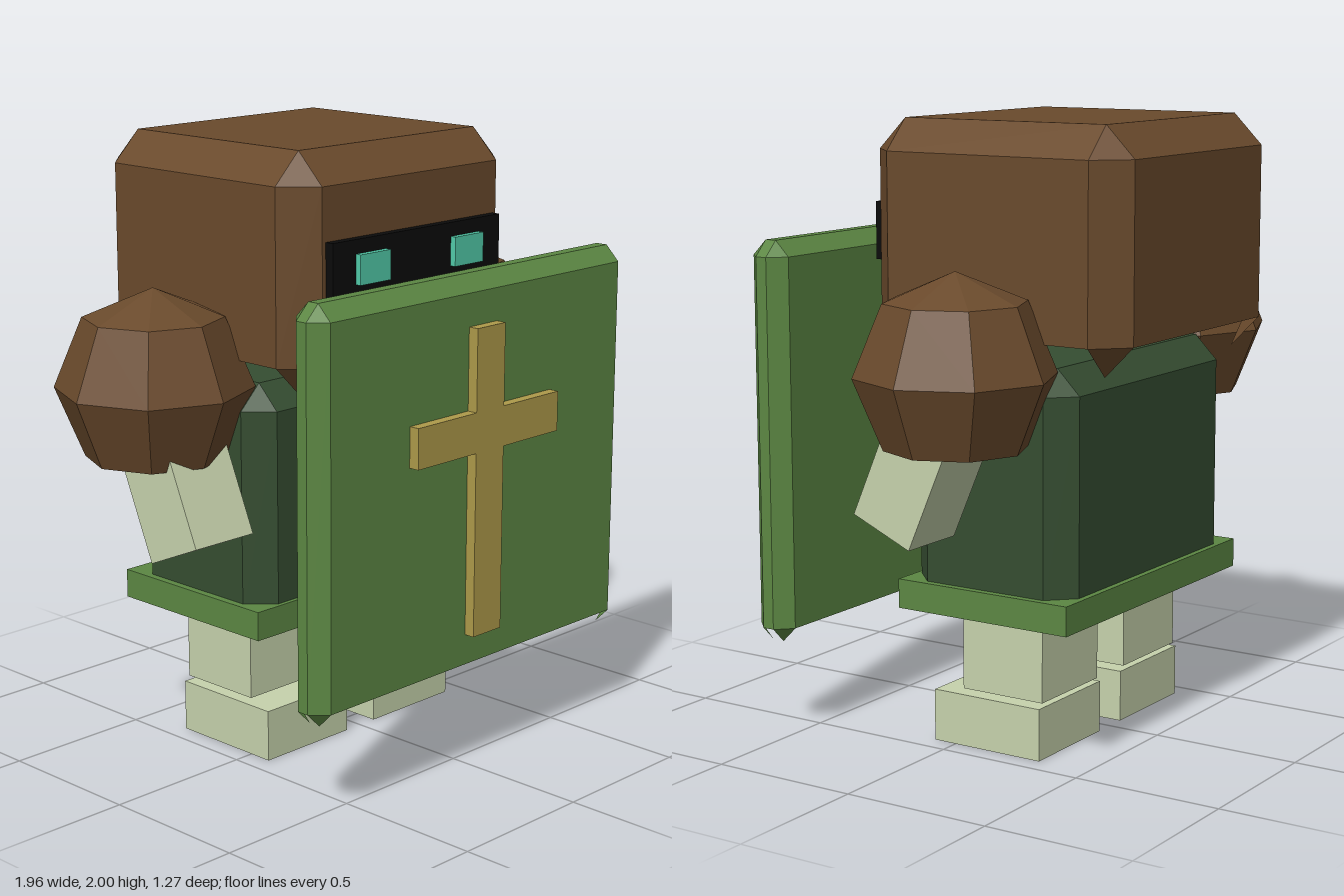
import * as THREE from 'three';

function mat(name, color) {
  const m = new THREE.MeshStandardMaterial({ color, side: THREE.DoubleSide });
  m.name = name;
  return m;
}

// Box between two corners, open at the bottom
function openBox(w, h, d) {
  const g = new THREE.BoxGeometry(w, h, d);
  const idx = Array.from(g.index.array);
  idx.splice(18, 6);
  g.setIndex(idx);
  g.clearGroups();
  return g;
}

// Chamfered box, open below: the bottom keeps only its corner points
function chamferBox(w, h, d, b) {
  const hx = w / 2, hz = d / 2, y0 = -h / 2, y1 = h / 2;
  const ring = [], inset = [];
  [[1, 1], [1, -1], [-1, -1], [-1, 1]].forEach(([sx, sz], k) => {
    const pair = [[sx * (hx - b), sz * hz], [sx * hx, sz * (hz - b)]];
    if (k % 2) pair.reverse();
    ring.push(...pair);
    const c = [sx * (hx - b), sz * (hz - b)];
    inset.push(c, c);
  });
  const pos = [];
  const tri = (...pts) => pts.forEach(([p, y]) => pos.push(p[0], y, p[1]));
  for (let i = 0; i < 8; i++) {
    const j = (i + 1) % 8, p = ring[i], q = ring[j];
    // wall
    tri([p, y0 + b], [q, y0 + b], [q, y1 - b]);
    tri([p, y0 + b], [q, y1 - b], [p, y1 - b]);
    // top bevel, with triangles at the corners
    tri([p, y1 - b], [q, y1 - b], [inset[j], y1]);
    if (i % 2) tri([p, y1 - b], [inset[j], y1], [inset[i], y1]);
    else tri([q, y0 + b], [p, y0 + b], [inset[i], y0]);
  }
  // lid
  tri([inset[0], y1], [inset[2], y1], [inset[4], y1]);
  tri([inset[0], y1], [inset[4], y1], [inset[6], y1]);
  const g = new THREE.BufferGeometry();
  g.setAttribute('position', new THREE.Float32BufferAttribute(pos, 3));
  g.computeVertexNormals();
  return g;
}

export function createModel() {
  const group = new THREE.Group();
  const brown = mat('brown', 0x6a4a2c);
  const green = mat('green', 0x5c8743);
  const darkGreen = mat('darkGreen', 0x354d31);
  const pale = mat('paleGreen', 0xc6d2ac);
  const gold = mat('gold', 0xae9a4a);
  const teal = mat('teal', 0x52ccaa);
  const black = mat('black', 0x0b0b0b);

  const add = (name, geometry, material, x, y, z) => {
    const mesh = new THREE.Mesh(geometry, material);
    mesh.name = name;
    mesh.position.set(x, y, z);
    group.add(mesh);
    return mesh;
  };
  // Place a part by its minimum and maximum corners
  const span = (name, material, [x0, y0, z0], [x1, y1, z1], bevel = 0) => {
    const size = [x1 - x0, y1 - y0, z1 - z0];
    const g = bevel ? chamferBox(...size, bevel) : openBox(...size);
    return add(name, g, material, (x0 + x1) / 2, (y0 + y1) / 2, (z0 + z1) / 2);
  };

  // Head, body and belt
  span('head', brown, [-0.5, 1.24, -0.635], [0.5, 2, 0.3], 0.1);
  span('body', darkGreen, [-0.51, 0.44, -0.465], [0.51, 1.26, 0.13], 0.08);
  span('belt', green, [-0.535, 0.455, -0.485], [0.535, 0.55, 0.145]);

  // Face
  span('visor', black, [-0.385, 1.545, 0.29], [0.385, 1.73, 0.33]);

  // Shoulder: eight-sided low-poly ball without its lowest ring
  const ball = new THREE.SphereGeometry(0.315, 8, 3, 0, Math.PI * 2, 0, Math.PI * 0.75).toNonIndexed();
  ball.computeVertexNormals();

  for (const [side, s] of [['left', 1], ['right', -1]]) {
    const pair = (name, material, a, b) => {
      const x0 = Math.min(s * a[0], s * b[0]), x1 = Math.max(s * a[0], s * b[0]);
      span(side + name, material, [x0, a[1], a[2]], [x1, b[1], b[2]]);
    };
    pair('Eye', teal, [0.15, 1.59, 0.32], [0.285, 1.685, 0.35]);
    pair('Leg', pale, [0.083, 0.185, -0.32], [0.413, 0.52, -0.02]);
    pair('Shoe', pale, [0.065, 0, -0.32], [0.432, 0.17, 0.08]);
    add(side + 'Shoulder', ball, brown, s * 0.667, 1.252, -0.173);
    // Forearm leaning forward
    add(side + 'Arm', openBox(0.24, 0.42, 0.225), pale, s * 0.66, 0.957, -0.055).rotation.x = -0.41;
  }

  // Shield with a raised cross
  span('shield', green, [-0.72, 0.32, 0.46], [0.72, 1.62, 0.6], 0.05);
  const a = 0.065, w = 0.33, y0 = 0.47, y1 = 1.07, y2 = 1.2, y3 = 1.465;
  const cross = new THREE.Shape([
    [-a, y0], [a, y0], [a, y1], [w, y1], [w, y2], [a, y2],
    [a, y3], [-a, y3], [-a, y2], [-w, y2], [-w, y1], [-a, y1],
  ].map(([x, y]) => new THREE.Vector2(x, y)));
  add('shieldCross', new THREE.ExtrudeGeometry(cross, { depth: 0.04, bevelEnabled: false }), gold, 0, 0, 0.595);

  return group;
}
